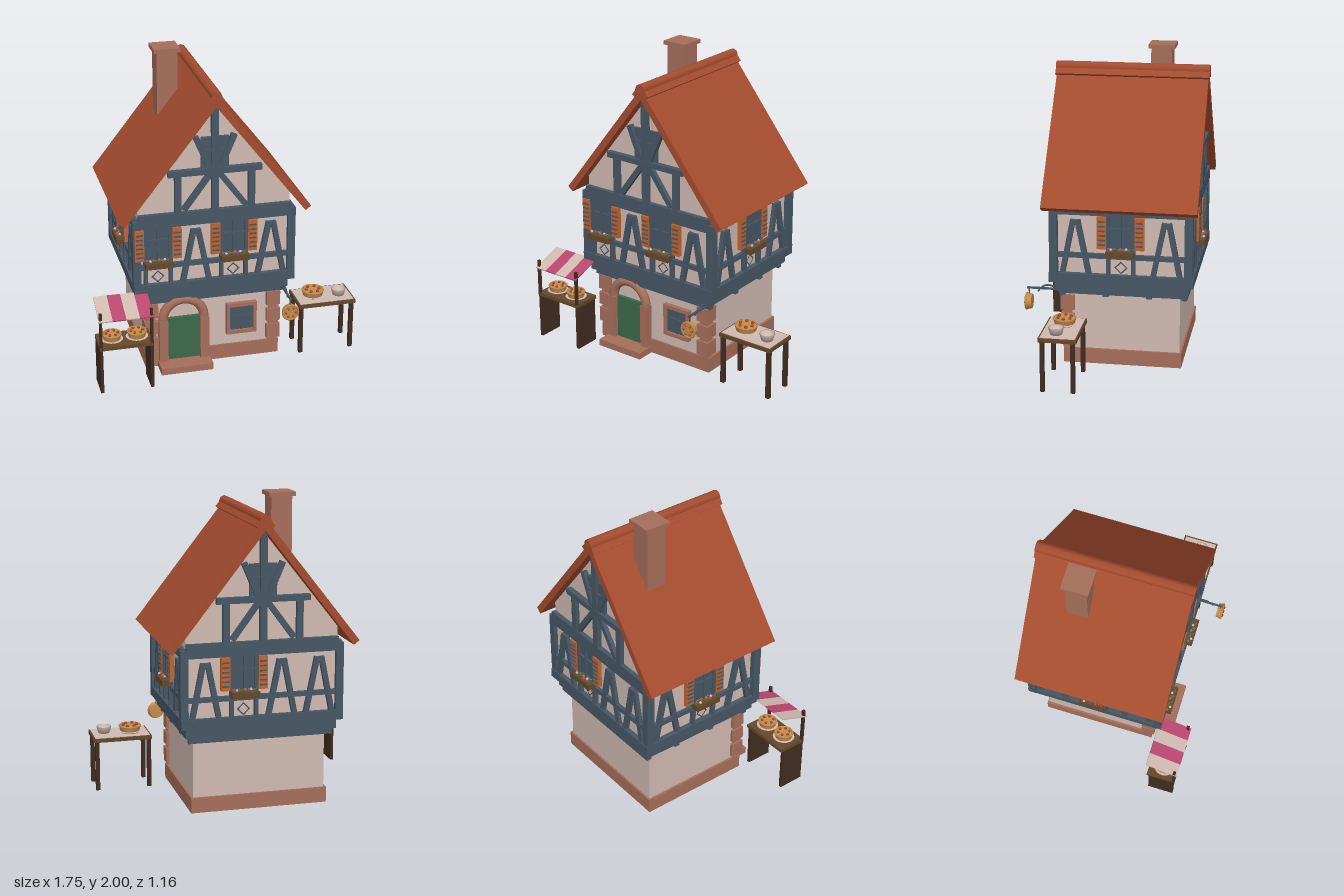
import * as THREE from 'three';

const flat = (name, color, side = THREE.FrontSide) => {
  const m = new THREE.MeshStandardMaterial({ color, side });
  m.name = name;
  return m;
};

export function createModel() {
  const M = {
    plaster: flat('plaster', 0xd0bab2),
    timber: flat('timber', 0x465764),
    roof: flat('roofTile', 0xa54c2f),
    stone: flat('stone', 0xa66e5b),
    dark: flat('darkWood', 0x402c20),
    wood: flat('wood', 0x644829),
    green: flat('doorGreen', 0x3c6a49),
    orange: flat('shutterOrange', 0xc4622c),
    pink: flat('awningPink', 0xb9476f),
    bread: flat('pastry', 0xc48d4c),
  };
  const root = new THREE.Group();
  root.name = 'bakery';
  const CX = -0.088, CZ = -0.075;

  const add = (parent, name, geo, mat, x = 0, y = 0, z = 0) => {
    const mesh = new THREE.Mesh(geo, mat);
    mesh.name = name;
    mesh.position.set(x, y, z);
    parent.add(mesh);
    return mesh;
  };
  const group = (parent, name, x = 0, y = 0, z = 0) => {
    const g = new THREE.Group();
    g.name = name;
    g.position.set(x, y, z);
    parent.add(g);
    return g;
  };
  // box given by its ranges
  const box = (p, name, mat, x0, x1, y0, y1, z0, z1) =>
    add(p, name, new THREE.BoxGeometry(x1 - x0, y1 - y0, z1 - z0), mat, (x0 + x1) / 2, (y0 + y1) / 2, (z0 + z1) / 2);
  // slanted timber in a facade plane
  const beam = (p, name, ax, ay, bx, by, w, d) => {
    const len = Math.hypot(bx - ax, by - ay);
    const m = add(p, name, new THREE.BoxGeometry(w, len, d), M.timber, (ax + bx) / 2, (ay + by) / 2, d / 2);
    m.rotation.z = Math.atan2(ax - bx, by - ay);
    return m;
  };
  // extruded outline centred on depth
  const prism = (points, depth) => {
    const s = new THREE.Shape(points.map(([x, y]) => new THREE.Vector2(x, y)));
    return new THREE.ExtrudeGeometry(s, { depth, bevelEnabled: false }).translate(0, 0, -depth / 2);
  };

  const house = group(root, 'house', CX, 0, CZ);

  // ground floor
  box(house, 'groundWall', M.plaster, -0.432, 0.432, 0.005, 0.51, -0.37, 0.37);
  box(house, 'plinth', M.stone, -0.447, 0.447, 0, 0.1, -0.382, 0.382);
  for (const s of [-1, 1]) {
    const q = group(house, 'cornerStones');
    const block = (w, out, y0, y1) => {
      const x0 = 0.432 + out - w, x1 = 0.432 + out;
      box(q, 'cornerStone', M.stone, s > 0 ? x0 : -x1, s > 0 ? x1 : -x0, y0, y1, 0.37 + out + 0.01 - w, 0.37 + out + 0.01);
    };
    block(0.06, 0.006, 0.1, 0.46);
    for (const [y0, y1] of [[0.12, 0.22], [0.245, 0.335], [0.36, 0.46]]) block(0.09, 0.02, y0, y1);
  }

  // jettied upper floor with joists
  box(house, 'jettyBeam', M.timber, -0.49, 0.49, 0.505, 0.57, -0.43, 0.43);
  for (const z of [0.385, 0.105, -0.175, -0.4]) box(house, 'joist', M.timber, -0.47, 0.47, 0.468, 0.505, z - 0.018, z + 0.018);
  for (const x of [-0.43, -0.145, 0.145, 0.43]) box(house, 'joistEnd', M.timber, x - 0.018, x + 0.018, 0.472, 0.505, -0.41, 0.41);
  box(house, 'sillBeam', M.timber, -0.526, 0.526, 0.57, 0.633, -0.462, 0.462);
  box(house, 'upperWall', M.plaster, -0.49, 0.49, 0.63, 1.11, -0.43, 0.43);
  for (const x of [-0.502, 0.502]) for (const z of [-0.43, 0.43])
    box(house, 'cornerPost', M.timber, x - 0.025, x + 0.025, 0.57, 1.07, z - 0.026, z + 0.026);
  add(house, 'gableWall', prism([[-0.49, 1.1], [0.49, 1.1], [0.49, 1.17], [0, 1.79], [-0.49, 1.17]], 0.86), M.plaster);

  // window with shutters, flower box and diamond
  const flowerMats = [M.pink, M.plaster, M.roof, M.green, M.orange];
  const windowBay = (p, x) => {
    const g = group(p, 'windowBay', x);
    box(g, 'windowPane', M.timber, -0.09, 0.09, 0.8, 1.02, 0, 0.018);
    for (const s of [-1, 1]) {
      box(g, 'windowFrame', M.timber, s * 0.08 - 0.012, s * 0.08 + 0.012, 0.63, 1.02, 0, 0.03);
      box(g, 'shutter', M.orange, s * 0.12 - 0.03, s * 0.12 + 0.03, 0.805, 1.015, 0.01, 0.036);
      for (let i = 0; i < 6; i++)
        box(g, 'shutterSlat', M.timber, s * 0.12 - 0.022, s * 0.12 + 0.022, 0.83 + i * 0.03, 0.839 + i * 0.03, 0.034, 0.043);
    }
    box(g, 'mullion', M.timber, -0.007, 0.007, 0.8, 1.02, 0, 0.03);
    box(g, 'transom', M.timber, -0.08, 0.08, 0.93, 0.944, 0, 0.03);
    box(g, 'flowerBox', M.wood, -0.09, 0.09, 0.76, 0.798, 0.02, 0.075);
    for (let i = 0; i < 9; i++) {
      add(g, 'leaf', new THREE.IcosahedronGeometry(0.011, 0), M.green, -0.076 + i * 0.019, 0.8, 0.045);
      add(g, 'flower', new THREE.IcosahedronGeometry(0.01, 0), flowerMats[i % 5], -0.076 + i * 0.019, 0.812, 0.046 + (i % 2) * 0.014);
    }
    const hole = new THREE.RingGeometry(0.031, 0.043, 4);
    add(g, 'diamond', hole, M.timber, 0, 0.663 + 0.015, 0.006);
  };
  const braceBay = (p, x) => {
    const g = group(p, 'braceBay', x);
    for (const s of [-1, 1]) beam(g, 'brace', s * 0.014, 0.985, s * 0.085, 0.63, 0.034, 0.026);
    box(g, 'braceHead', M.timber, -0.025, 0.025, 0.955, 0.985, 0, 0.025);
  };
  const facade = (name, angle, half, dist, windows, braces, topY) => {
    const holder = group(house, name);
    holder.rotation.y = angle;
    const g = group(holder, name + 'Timbers', 0, 0, dist);
    box(g, 'topRail', M.timber, -half, half, 1.02, topY, 0, 0.03);
    box(g, 'middleRail', M.timber, -half, half, 0.737, 0.768, 0, 0.024);
    windows.forEach((x) => windowBay(g, x));
    braces.forEach((x) => braceBay(g, x));
    return g;
  };
  const gable = (g) => {
    box(g, 'kingPost', M.timber, -0.022, 0.022, 1.1, 1.78, 0, 0.034);
    box(g, 'collarBeam', M.timber, -0.3, 0.3, 1.352, 1.39, 0, 0.036);
    box(g, 'gableWindow', M.timber, -0.088, 0.088, 1.39, 1.592, 0, 0.018);
    box(g, 'gableTransom', M.timber, -0.08, 0.08, 1.5, 1.515, 0, 0.03);
    for (const s of [-1, 1]) {
      box(g, 'gablePost', M.timber, s * 0.236 - 0.021, s * 0.236 + 0.021, 1.1, 1.355, 0, 0.03);
      beam(g, 'lowerBrace', s * 0.015, 1.37, s * 0.2, 1.12, 0.036, 0.027);
      beam(g, 'upperBrace', s * 0.02, 1.36, s * 0.123, 1.6, 0.036, 0.032);
    }
  };
  const bay = 0.1225;
  gable(facade('front', 0, 0.49, 0.43, [-3 * bay, bay], [-bay, 3 * bay], 1.11));
  gable(facade('back', Math.PI, 0.49, 0.43, [-bay], [-3 * bay, bay, 3 * bay], 1.11));
  facade('leftSide', Math.PI / 2, 0.43, 0.49, [0], [-0.29, 0.29], 1.08);
  facade('rightSide', -Math.PI / 2, 0.43, 0.49, [0], [-0.29, 0.29], 1.08);

  // roof, ridge and chimney
  add(house, 'roof', prism([[0, 1.87], [-0.617, 1.085], [-0.581, 1.057], [0, 1.797], [0.581, 1.057], [0.617, 1.085]], 0.98), M.roof);
  const roll = add(house, 'ridgeRoll', new THREE.CylinderGeometry(0.036, 0.036, 0.995, 8), M.roof, 0, 1.862, 0);
  roll.rotation.x = Math.PI / 2;
  for (const s of [-1, 1]) {
    const cap = add(house, 'ridgeTile', new THREE.BoxGeometry(0.07, 0.024, 0.993), M.roof, s * 0.03, 1.845, 0);
    cap.rotation.z = -s * 0.9;
  }
  box(root, 'chimney', M.stone, -0.333, -0.197, 1.3, 1.976, -0.313, -0.177);
  box(root, 'chimneyCap', M.stone, -0.352, -0.18, 1.974, 2, -0.332, -0.16);

  // arched doorway and step
  const door = group(root, 'doorway', -0.283, 0, 0.295);
  box(door, 'step', M.stone, -0.172, 0.172, 0, 0.045, 0, 0.14);
  box(door, 'door', M.green, -0.108, 0.108, 0.045, 0.345, 0, 0.022);
  for (const s of [-1, 1]) box(door, 'jamb', M.stone, s * 0.136 - 0.029, s * 0.136 + 0.029, 0.045, 0.34, 0, 0.05);
  add(door, 'arch', new THREE.TorusGeometry(0.135, 0.031, 12, 24, Math.PI), M.stone, 0, 0.34, 0.02);

  // ground floor window
  const win = group(root, 'groundWindow', 0.105, 0.29, 0.295);
  box(win, 'glass', M.timber, -0.085, 0.085, -0.09, 0.09, 0, 0.012);
  for (const s of [-1, 1]) {
    box(win, 'frameSide', M.stone, s * 0.09 - 0.011, s * 0.09 + 0.011, -0.11, 0.11, 0, 0.03);
    box(win, 'frameRail', M.stone, -0.08, 0.08, s * 0.098 - 0.012, s * 0.098 + 0.012, 0, 0.03);
  }
  box(win, 'mullion', M.timber, -0.005, 0.005, -0.09, 0.09, 0, 0.02);
  box(win, 'transom', M.timber, -0.08, 0.08, 0.01, 0.02, 0, 0.02);

  // cherry pies
  const pie = (p, x, y, z, r, plate = true) => {
    const g = group(p, 'pie', x, y, z);
    if (plate) add(g, 'plate', new THREE.CylinderGeometry(r * 1.15, r * 0.9, 0.01, 24), M.plaster, 0, 0.005, 0);
    add(g, 'pieCrust', new THREE.CylinderGeometry(r, r * 0.86, 0.035, 24), M.bread, 0, 0.026, 0);
    const rim = add(g, 'pieRim', new THREE.TorusGeometry(r * 0.92, 0.007, 6, 24), M.bread, 0, 0.043, 0);
    rim.rotation.x = Math.PI / 2;
    for (let i = 0; i < 6; i++) {
      const a = (i / 6) * Math.PI * 2;
      add(g, 'cherry', new THREE.SphereGeometry(r * 0.15, 8, 6), M.roof, Math.cos(a) * r * 0.6, 0.049, Math.sin(a) * r * 0.6);
    }
    return g;
  };

  // hanging sign on an iron bracket
  box(root, 'signArm', M.timber, 0.364, 0.376, 0.495, 0.507, 0.29, 0.54);
  const curl = new THREE.QuadraticBezierCurve3(
    new THREE.Vector3(0.37, 0.46, 0.31), new THREE.Vector3(0.37, 0.58, 0.4), new THREE.Vector3(0.37, 0.48, 0.47));
  add(root, 'signCurl', new THREE.TubeGeometry(curl, 12, 0.006, 6), M.timber);
  box(root, 'signHanger', M.timber, 0.367, 0.373, 0.45, 0.5, 0.525, 0.531);
  const sign = pie(root, 0.37, 0.41, 0.5, 0.055, false);
  sign.rotation.x = Math.PI / 2;

  // market stall with striped awning
  const stall = group(root, 'stall');
  box(stall, 'stallTop', M.wood, -0.872, -0.53, 0.302, 0.325, 0.37, 0.565);
  for (const x of [-0.863, -0.54]) {
    box(stall, 'stallPanel', M.dark, x - 0.01, x + 0.01, 0, 0.302, 0.385, 0.56);
    box(stall, 'stallPost', M.dark, x - 0.009, x + 0.009, 0.3, 0.56, 0.547, 0.565);
  }
  for (let i = 0; i < 4; i++) {
    const s = add(stall, 'awningStripe', new THREE.BoxGeometry(0.0863, 0.008, 0.224), i % 2 ? M.pink : M.plaster, -0.832 + i * 0.0863, 0.546, 0.47);
    s.rotation.x = Math.atan2(0.075, 0.21);
  }
  pie(stall, -0.78, 0.325, 0.47, 0.062);
  pie(stall, -0.62, 0.325, 0.47, 0.062);

  // side table
  const table = group(root, 'table');
  box(table, 'tableTop', M.wood, 0.485, 0.87, 0.33, 0.355, 0.13, 0.37);
  box(table, 'tableCloth', M.plaster, 0.495, 0.86, 0.354, 0.358, 0.14, 0.36);
  for (const x of [0.502, 0.848]) for (const z of [0.155, 0.347])
    box(table, 'tableLeg', M.dark, x - 0.013, x + 0.013, 0, 0.33, z - 0.013, z + 0.013);
  pie(table, 0.61, 0.358, 0.25, 0.074);
  const bowl = [[0, 0], [0.038, 0], [0.05, 0.044], [0.045, 0.044], [0.035, 0.01], [0, 0.01]].map(([r, y]) => new THREE.Vector2(r, y));
  add(table, 'bowl', new THREE.LatheGeometry(bowl, 20), M.plaster, 0.782, 0.358, 0.27);

  return root;
}
